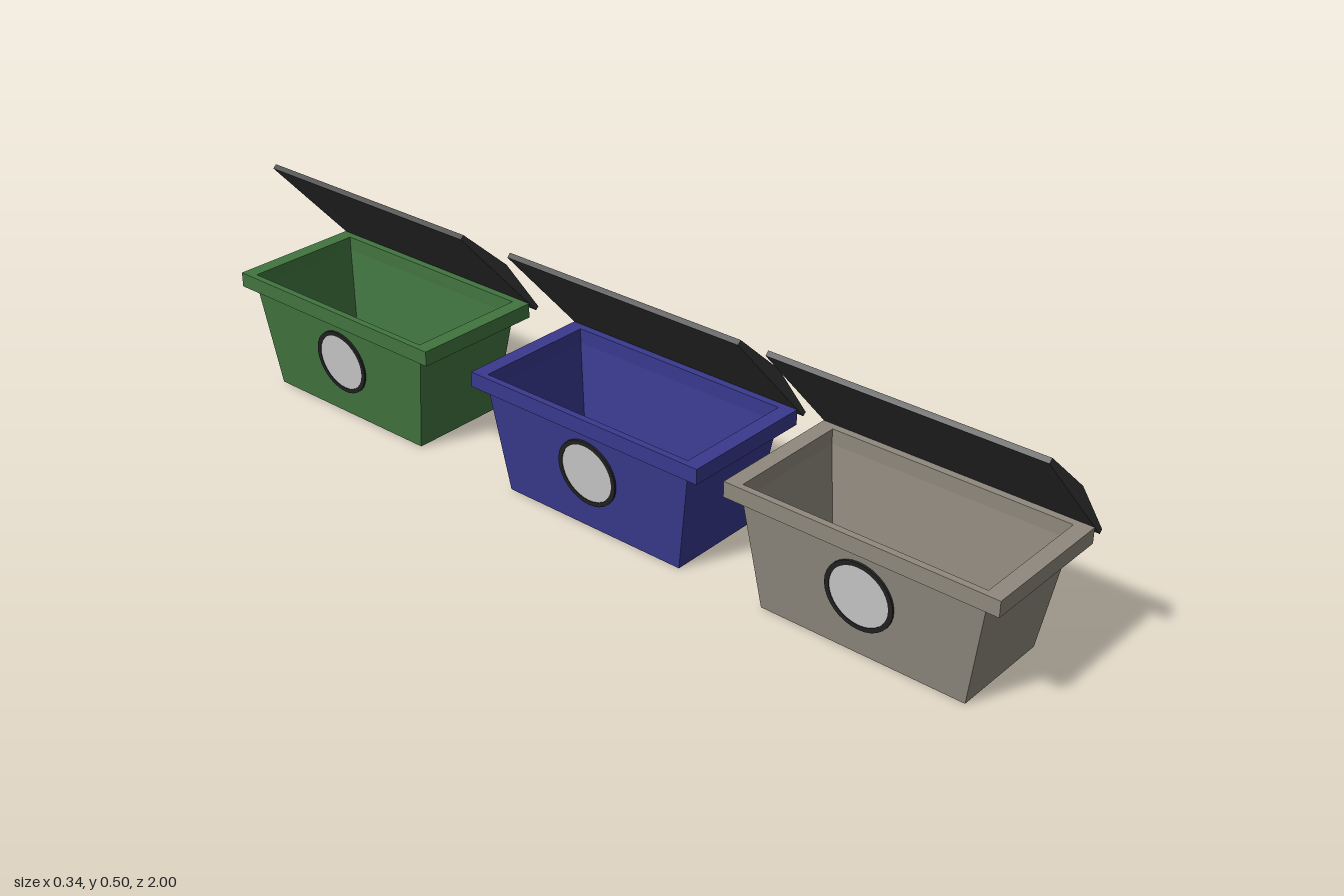
import * as THREE from 'three';

const mat = (color, side = THREE.FrontSide) =>
  new THREE.MeshStandardMaterial({ color, side, flatShading: true });

// Skin between rectangular rings [xMin, xMax, halfDepth, y], with the first ring capped
function loftRects(rings) {
  const pos = [];
  const corners = ([a, b, h, y]) => [[a, y, h], [b, y, h], [b, y, -h], [a, y, -h]];
  const quad = (a, b, c, d) => pos.push(...a, ...b, ...c, ...a, ...c, ...d);
  const loops = rings.map(corners);
  for (let i = 0; i < loops.length - 1; i++) {
    for (let k = 0; k < 4; k++) {
      const n = (k + 1) % 4;
      quad(loops[i][k], loops[i][n], loops[i + 1][n], loops[i + 1][k]);
    }
  }
  const f = loops[0];
  quad(f[3], f[2], f[1], f[0]);
  const g = new THREE.BufferGeometry();
  g.setAttribute('position', new THREE.Float32BufferAttribute(pos, 3));
  g.computeVertexNormals();
  return g;
}

function createBin(name, color, z) {
  const bin = new THREE.Group();
  bin.name = name;
  bin.position.z = z;
  const add = (partName, geometry, material, parent = bin) => {
    const m = new THREE.Mesh(geometry, material);
    m.name = partName;
    parent.add(m);
    return m;
  };

  // Thin tapered tub, open at the top
  add('tub', loftRects([
    [-0.135, 0.098, 0.23, 0],
    [-0.157, 0.124, 0.266, 0.236],
  ]), mat(color, THREE.DoubleSide));

  // Rim collar around the opening
  const rimShape = new THREE.Shape();
  rimShape.moveTo(-0.172, -0.3).lineTo(0.141, -0.3).lineTo(0.141, 0.3).lineTo(-0.172, 0.3).closePath();
  const hole = new THREE.Path();
  hole.moveTo(-0.157, -0.266).lineTo(-0.157, 0.266).lineTo(0.124, 0.266).lineTo(0.124, -0.266).closePath();
  rimShape.holes.push(hole);
  const rim = new THREE.ExtrudeGeometry(rimShape, { depth: 0.034, bevelEnabled: false });
  rim.rotateX(-Math.PI / 2).translate(0, 0.235, 0);
  add('rim', rim, mat(color));

  // Open lid with a shallow ridge along its length
  const lidShape = new THREE.Shape();
  lidShape.moveTo(-0.057, 0.487).lineTo(0.163, 0.245).lineTo(0.17, 0.252)
    .lineTo(0.075, 0.385).lineTo(-0.049, 0.495).closePath();
  const lid = new THREE.ExtrudeGeometry(lidShape, { depth: 0.6, bevelEnabled: false });
  lid.translate(0, 0, -0.3);
  add('lid', lid, mat(0x383838));

  // Round plate set through the sloping wall, framed by a dark ring
  const badge = new THREE.Group();
  badge.name = 'badge';
  badge.position.set(-0.1477, 0.135, 0);
  badge.rotation.z = Math.PI / 2 + Math.atan2(0.022, 0.236);
  bin.add(badge);
  add('plate', new THREE.CylinderGeometry(0.068, 0.068, 0.006, 32), mat(0xcccccc), badge);
  const ring = [[0.066, -0.001], [0.076, -0.001], [0.076, 0.0045], [0.066, 0.0045], [0.066, -0.001]]
    .map(([r, y]) => new THREE.Vector2(r, y));
  add('badgeRing', new THREE.LatheGeometry(ring, 32), mat(0x222222), badge);
  return bin;
}

export function createModel() {
  const model = new THREE.Group();
  model.name = 'recyclingBins';
  model.add(
    createBin('greyBin', 0x8f887d, 0.7),
    createBin('blueBin', 0x39398f, 0.035),
    createBin('greenBin', 0x427540, -0.7),
  );
  return model;
}
